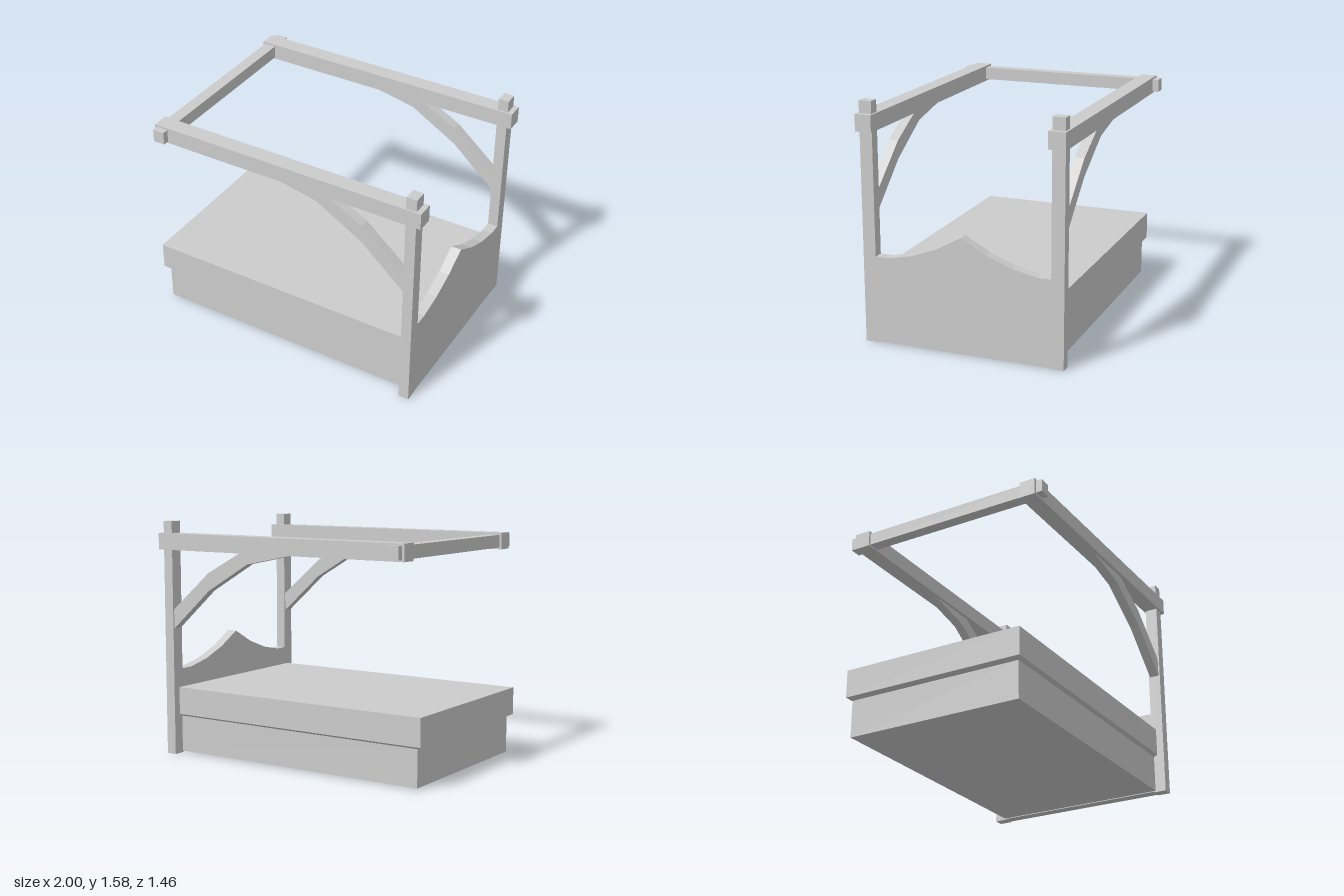
import * as THREE from 'three';

const material = new THREE.MeshStandardMaterial({ color: 0xcccccc, flatShading: true });

export function createModel() {
  const model = new THREE.Group();
  model.name = 'canopyBed';

  const add = (name, geometry) => {
    const mesh = new THREE.Mesh(geometry, material);
    mesh.name = name;
    model.add(mesh);
  };

  // Box given by its limits on each axis
  const box = (x0, x1, y0, y1, z0, z1) =>
    new THREE.BoxGeometry(x1 - x0, y1 - y0, z1 - z0)
      .translate((x0 + x1) / 2, (y0 + y1) / 2, (z0 + z1) / 2);

  // Outline extruded by a depth centred on its plane
  const slab = (points, depth) =>
    new THREE.ExtrudeGeometry(
      new THREE.Shape(points.map(([x, y]) => new THREE.Vector2(x, y))),
      { depth, bevelEnabled: false }
    ).translate(0, 0, -depth / 2);

  // Bed base and mattress
  add('bedBase', box(-0.965, 0.89, 0.01, 0.255, -0.6, 0.6));
  add('mattress', box(-1, 0.89, 0.27, 0.455, -0.625, 0.625));

  // Sloped strip narrowing from the mattress down to the base
  const strip = box(-1, 0.89, 0.255, 0.27, -0.625, 0.625);
  const pos = strip.attributes.position;
  for (let i = 0; i < pos.count; i++) {
    if (pos.getY(i) > 0.262) continue;
    if (pos.getX(i) < 0) pos.setX(i, -0.965);
    pos.setZ(i, Math.sign(pos.getZ(i)) * 0.6);
  }
  strip.computeVertexNormals();
  add('mattressSupport', strip);

  // Headboard with a peaked, curved top edge
  const half = [[0.59, 0.58], [0.5, 0.58], [0.335, 0.615], [0.165, 0.68]];
  const top = [...half, [0, 0.772], ...half.map(([z, y]) => [-z, y]).reverse()];
  add('headboard', slab([[-0.59, 0.005], [0.59, 0.005], ...top], 0.07)
    .rotateY(Math.PI / 2).translate(0.925, 0, 0));

  // Posts, canopy rails and curved braces on both sides
  const brace = [
    [0.89, 0.86], [0.89, 0.99], [0.59, 1.25], [0.33, 1.39],
    [-0.07, 1.39], [0.27, 1.32], [0.59, 1.13],
  ];
  for (const [side, s] of [['left', 1], ['right', -1]]) {
    const z = s * 0.6325;
    add(side + 'Post', box(0.89, 0.96, 0, 1.58, z - 0.0425, z + 0.0425));
    add(side + 'Rail', box(-0.915, 0.995, 1.39, 1.5, z - 0.055, z + 0.055));
    add(side + 'Brace', slab(brace, 0.065).translate(0, 0, z));
  }

  // Crossbar passing through the rails at the foot end
  add('crossbar', box(-0.9, -0.82, 1.402, 1.487, -0.73, 0.73));

  return model;
}
